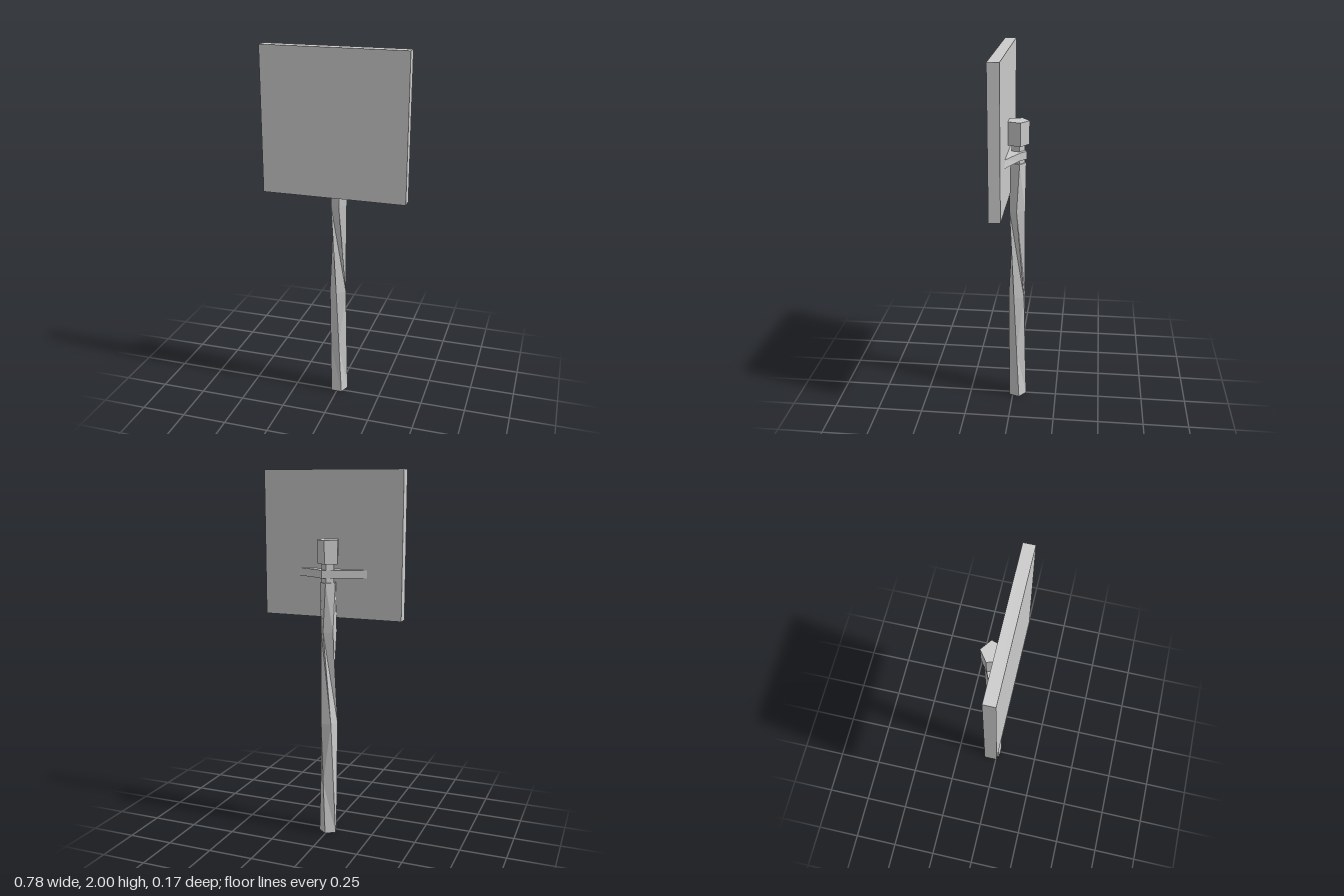
import * as THREE from 'three';

const grey = new THREE.MeshStandardMaterial({ color: 0xcccccc, flatShading: true });
const AXIS_Z = -0.024; // depth of the post axis

// Solid through stacked rings of [x, y, z] points, counter-clockwise from above
function loft(rings) {
  const n = rings[0].length, index = [];
  for (let r = 0; r < rings.length - 1; r++) {
    for (let j = 0; j < n; j++) {
      const a = r * n + j, b = r * n + (j + 1) % n;
      index.push(a, b, a + n, b, b + n, a + n);
    }
  }
  const top = (rings.length - 1) * n;
  for (let j = 1; j < n - 1; j++) {
    index.push(0, j + 1, j, top, top + j, top + j + 1);
  }
  const geo = new THREE.BufferGeometry();
  geo.setAttribute('position', new THREE.Float32BufferAttribute(rings.flat(2), 3));
  geo.setIndex(index);
  const flat = geo.toNonIndexed();
  flat.computeVertexNormals();
  return flat;
}

// Five-sided ring; turn is the angle of its first corner from the front, in degrees
function pentagon(y, radius, turn = -36) {
  return Array.from({ length: 5 }, (_, i) => {
    const a = THREE.MathUtils.degToRad(turn + i * 72);
    return [radius * Math.sin(a), y, AXIS_Z + radius * Math.cos(a)];
  });
}

export function createModel() {
  const group = new THREE.Group();
  const add = (name, geometry) => {
    const mesh = new THREE.Mesh(geometry, grey);
    mesh.name = name;
    group.add(mesh);
    return mesh;
  };

  // Square sign board
  add('board', new THREE.BoxGeometry(0.78, 0.78, 0.06)).position.set(0, 1.61, 0.053);

  // Rough-hewn post: each ring is twisted a little
  add('post', loft([
    pentagon(0, 0.052, -38),
    pentagon(0.3, 0.048, -54),
    pentagon(0.64, 0.049, 0),
    pentagon(1.15, 0.045, -56),
    pentagon(1.415, 0.045, -36),
  ]));

  // Narrow neck and wider cap
  add('neck', loft([pentagon(1.4, 0.037), pentagon(1.53, 0.037)]));
  add('cap', loft([pentagon(1.515, 0.06), pentagon(1.64, 0.062)]));

  // Wedge-shaped bracket tying the neck to the board
  const bracketRing = (y, tip) => [
    [0.055, y, -0.042], [0.02, y, -0.073], [-0.2, y, 0.024], [tip, y, 0.024],
  ];
  add('bracket', loft([bracketRing(1.44, 0.2), bracketRing(1.482, 0.188)]));

  return group;
}
